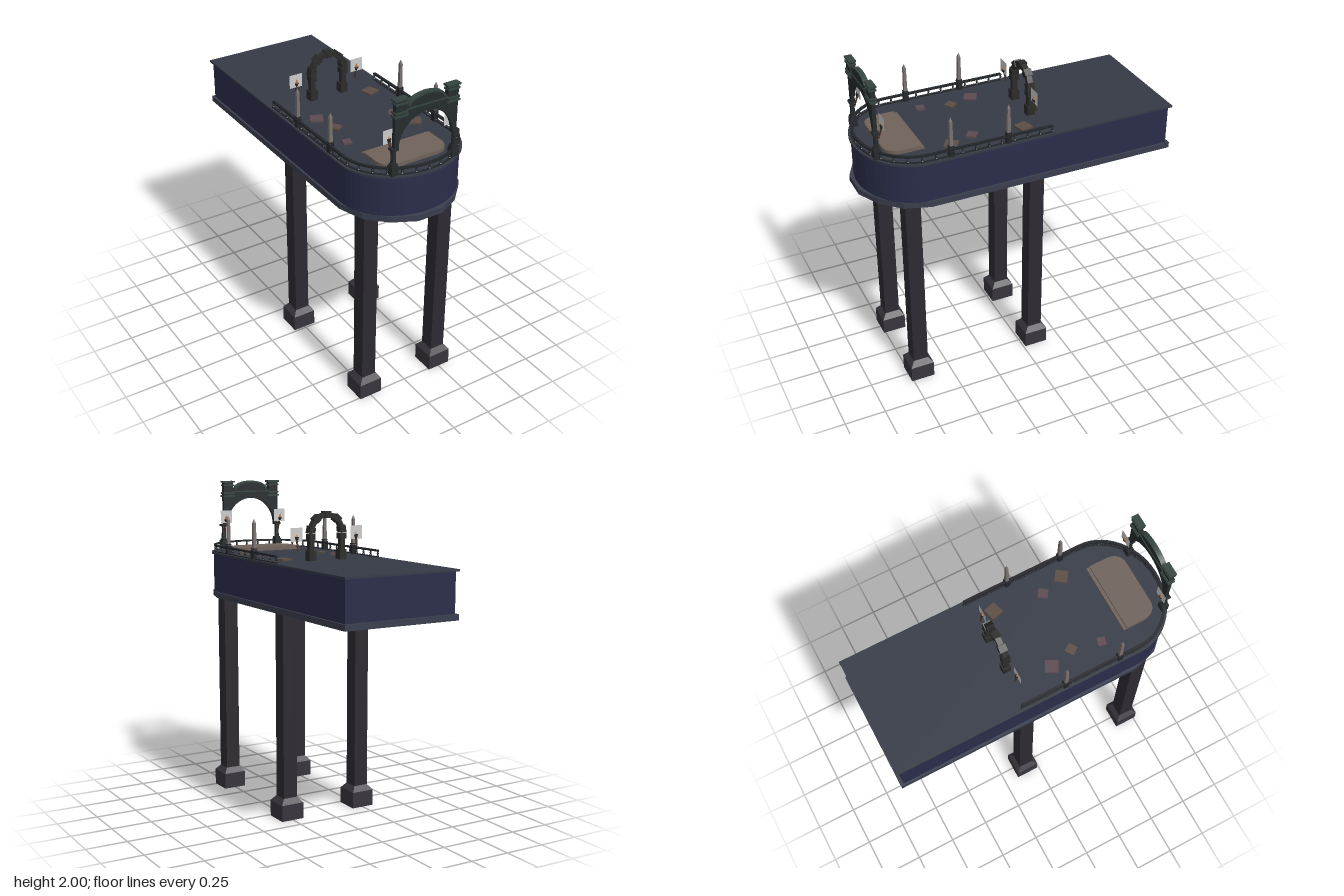
import * as THREE from 'three';

const mat = (color, flat = false) =>
  new THREE.MeshStandardMaterial({ color, flatShading: flat, side: THREE.DoubleSide });
const M = {
  wall: mat(0x2a2d4a), deck: mat(0x353a45), trim: mat(0x3a3e4e), leg: mat(0x2d2a31), foot: mat(0x38343d),
  iron: mat(0x23262a, true), stone: mat(0x2b2b29, true), gate: mat(0x262b2d, true), cap: mat(0x34443f),
  post: mat(0x77706e, true), stage: mat(0x6f625b), slabA: mat(0x5a4d45), slabB: mat(0x5c4a50),
  wood: mat(0x4a3423), ember: mat(0xc07030), card: mat(0xcccccc),
};

function add(parent, name, geo, material, x = 0, y = 0, z = 0) {
  const m = new THREE.Mesh(geo, material);
  m.name = name;
  m.position.set(x, y, z);
  parent.add(m);
  return m;
}
const box = (p, name, material, w, h, d, x, y, z) =>
  add(p, name, new THREE.BoxGeometry(w, h, d), material, x, y, z);

// Horizontal slab from a plan outline (x, z), between heights y0 and y1
function slab(parent, name, shape, y0, y1, material) {
  const geo = new THREE.ExtrudeGeometry(shape, { depth: y1 - y0, bevelEnabled: false });
  return add(parent, name, geo.rotateX(Math.PI / 2), material, 0, y1, 0);
}

// Rounded front end, from the right side round to the left
function bow(rx, front, z0 = 0.6, n = 28) {
  const pts = [];
  for (let i = 0; i <= n; i++) {
    const a = (Math.PI * i) / n;
    pts.push(new THREE.Vector2(rx * Math.cos(a), z0 + (front - z0) * Math.sin(a)));
  }
  return pts;
}
const plan = (rx, front, back) => new THREE.Shape([
  new THREE.Vector2(-rx, back), new THREE.Vector2(rx, back), ...bow(rx, front)]);

function buildDeck(g) {
  slab(g, 'deckWall', plan(0.36, 0.91, -0.91), 1.3, 1.55, M.wall);
  slab(g, 'deckFloor', plan(0.373, 0.922, -0.93), 1.548, 1.56, M.deck);
  // Lower trim has a faceted front
  const half = [[0.373, 0.6], [0.325, 0.75], [0.215, 0.862], [0.08, 0.93]];
  const pts = [[-0.373, -0.93], [0.373, -0.93], ...half, ...half.map(([x, z]) => [-x, z]).reverse()];
  slab(g, 'lowerTrim', new THREE.Shape(pts.map(p => new THREE.Vector2(...p))), 1.275, 1.31, M.trim);
}

function buildLeg(g, x, z) {
  const leg = new THREE.Group();
  leg.name = 'leg';
  leg.position.set(x, 0, z);
  box(leg, 'legShaft', M.leg, 0.092, 1.18, 0.092, 0, 0.69, 0);
  box(leg, 'legFoot', M.foot, 0.146, 0.1, 0.146, 0, 0.05, 0);
  const taper = new THREE.CylinderGeometry(0.046 * Math.SQRT2, 0.073 * Math.SQRT2, 0.033, 4, 1).rotateY(Math.PI / 4);
  add(leg, 'footTaper', taper, mat(0x38343d, true), 0, 0.1165, 0);
  g.add(leg);
}

function buildRailing(g) {
  const line = r => [new THREE.Vector2(r, -0.15), ...bow(r, 0.55 + r), new THREE.Vector2(-r, -0.15)];
  const band = w => new THREE.Shape([...line(0.351 + w), ...line(0.351 - w).reverse()]);
  slab(g, 'handrail', band(0.008), 1.595, 1.606, M.iron);
  slab(g, 'railFoot', band(0.006), 1.56, 1.565, M.iron);
  const path = new THREE.CurvePath();
  const pts = line(0.351);
  for (let i = 1; i < pts.length; i++) path.add(new THREE.LineCurve(pts[i - 1], pts[i]));
  const profile = [[0.009, 0], [0.009, 0.008], [0.004, 0.013], [0.007, 0.022], [0.004, 0.03], [0.008, 0.037]]
    .map(p => new THREE.Vector2(...p));
  const baluster = new THREE.LatheGeometry(profile, 6);
  for (const p of path.getSpacedPoints(32)) add(g, 'baluster', baluster, M.iron, p.x, 1.56, p.y);
  // Tall pointed posts on the rail
  for (const x of [-0.349, 0.349]) for (const z of [0.47, 0.125]) {
    box(g, 'postBase', M.iron, 0.03, 0.055, 0.03, x, 1.587, z);
    box(g, 'postCollar', M.iron, 0.028, 0.008, 0.028, x, 1.622, z);
    const shaft = new THREE.CylinderGeometry(0.012, 0.015, 0.16, 4).rotateY(Math.PI / 4);
    add(g, 'postShaft', shaft, M.post, x, 1.695, z);
    add(g, 'postTip', new THREE.ConeGeometry(0.012, 0.026, 4).rotateY(Math.PI / 4), M.post, x, 1.788, z);
  }
}

function buildGate(g) {
  const gate = new THREE.Group();
  gate.name = 'frontGate';
  gate.position.z = 0.845;
  // Header panel cut by a wide arch
  const s = new THREE.Shape();
  s.moveTo(-0.2, 1.715);
  s.lineTo(-0.172, 1.715);
  s.absarc(0, 1.715, 0.172, Math.PI, 0, true);
  s.lineTo(0.2, 1.715);
  s.lineTo(0.2, 1.905);
  s.lineTo(0.13, 1.905);
  s.lineTo(0.13, 1.945);
  s.lineTo(0.115, 1.945);
  s.absellipse(0, 1.945, 0.115, 0.052, 0, Math.PI, false);
  s.lineTo(-0.13, 1.945);
  s.lineTo(-0.13, 1.905);
  s.lineTo(-0.2, 1.905);
  const geo = new THREE.ExtrudeGeometry(s, { depth: 0.022, bevelEnabled: false, curveSegments: 20 });
  add(gate, 'archPanel', geo, M.gate, 0, 0, -0.011);
  box(gate, 'panelLedge', M.cap, 0.27, 0.008, 0.03, 0, 1.93, 0);
  const arc = new THREE.Shape();
  arc.absellipse(0, 0, 0.118, 0.055, 0, Math.PI, false);
  arc.absellipse(0, 0, 0.106, 0.043, Math.PI, 0, true);
  const crest = new THREE.ExtrudeGeometry(arc, { depth: 0.03, bevelEnabled: false, curveSegments: 16 });
  add(gate, 'crest', crest, M.cap, 0, 1.944, -0.015);
  for (const k of [-1, 1]) {
    const x = 0.197 * k;
    box(gate, 'columnBase', M.gate, 0.044, 0.055, 0.042, x, 1.587, 0);
    box(gate, 'columnRing', M.gate, 0.035, 0.012, 0.036, x, 1.62, 0);
    add(gate, 'columnShaft', new THREE.CylinderGeometry(0.013, 0.016, 0.09, 8), M.gate, x, 1.667, 0);
    box(gate, 'columnCapital', M.gate, 0.04, 0.014, 0.038, x, 1.714, 0);
    box(gate, 'pilaster', M.gate, 0.066, 0.09, 0.03, 0.165 * k, 1.945, 0);
    for (const [y, w] of [[1.902, 0.084], [1.922, 0.076], [1.972, 0.076], [1.994, 0.084]])
      box(gate, 'cornice', M.cap, w, 0.011, 0.042, 0.165 * k, y, 0);
  }
  g.add(gate);
}

function buildInnerArch(g) {
  const arch = new THREE.Group();
  arch.name = 'innerArch';
  arch.position.z = -0.125;
  for (const k of [-1, 1]) {
    box(arch, 'archFoot', M.stone, 0.048, 0.06, 0.048, 0.104 * k, 1.59, 0);
    box(arch, 'archPier', M.stone, 0.03, 0.08, 0.032, 0.106 * k, 1.655, 0);
    box(arch, 'archBlock', M.stone, 0.04, 0.035, 0.046, 0.106 * k, 1.7, 0);
  }
  // Alternating thick and thin arch stones
  const n = 9;
  for (let i = 0; i < n; i++) {
    const a0 = (Math.PI * i) / n, a1 = (Math.PI * (i + 1)) / n, big = i % 2 === 0;
    const ro = big ? 0.128 : 0.12, ri = big ? 0.088 : 0.093, d = big ? 0.046 : 0.034;
    const s = new THREE.Shape([[ro, a0], [ro, a1], [ri, a1], [ri, a0]]
      .map(([r, a]) => new THREE.Vector2(r * Math.cos(a), r * Math.sin(a))));
    const geo = new THREE.ExtrudeGeometry(s, { depth: d, bevelEnabled: false });
    add(arch, 'archStone', geo, M.stone, 0, 1.722, -d / 2);
  }
  g.add(arch);
}

// Leaning torch with an upright square card at its flame
function buildTorch(g, x, y, z, lean, cardX) {
  const t = new THREE.Group();
  t.name = 'torch';
  t.position.set(x, y, z);
  t.rotation.x = lean;
  add(t, 'torchHandle', new THREE.CylinderGeometry(0.007, 0.004, 0.07, 6), M.wood, 0, -0.045, 0);
  add(t, 'torchCup', new THREE.CylinderGeometry(0.014, 0.008, 0.018, 6), M.iron, 0, -0.008, 0);
  add(t, 'torchFlame', new THREE.ConeGeometry(0.009, 0.03, 6), M.ember, 0, 0.014, 0);
  g.add(t);
  add(g, 'flameCard', new THREE.PlaneGeometry(0.082, 0.082), M.card, cardX, y + 0.015, z);
}

function buildStage(g) {
  const s = new THREE.Shape();
  s.moveTo(-0.217, 0.595);
  s.lineTo(0.217, 0.595);
  s.lineTo(0.217, 0.71);
  s.quadraticCurveTo(0.21, 0.795, 0.13, 0.795);
  s.lineTo(-0.13, 0.795);
  s.quadraticCurveTo(-0.21, 0.795, -0.217, 0.71);
  slab(g, 'stage', s, 1.56, 1.583, M.stage);
  box(g, 'stageStep', M.stage, 0.434, 0.012, 0.022, 0, 1.566, 0.586);
}

export function createModel() {
  const g = new THREE.Group();
  g.name = 'raisedTerrace';
  buildDeck(g);
  for (const x of [-0.252, 0.252]) for (const z of [0.688, -0.085]) buildLeg(g, x, z);
  buildRailing(g);
  buildGate(g);
  buildInnerArch(g);
  for (const k of [-1, 1]) buildTorch(g, 0.2 * k, 1.755, 0.805, -0.3, 0.196 * k);
  buildTorch(g, -0.217, 1.7, -0.11, 0.2, -0.222);
  buildTorch(g, 0.193, 1.7, -0.11, 0.2, 0.193);
  buildStage(g);
  // Loose floor slabs: x, z, size, turn, material
  for (const [x, z, w, turn, m] of [
    [0.235, -0.022, 0.078, 0.25, M.slabA], [-0.217, 0.11, 0.075, -0.5, M.slabB],
    [-0.178, 0.255, 0.056, 0.6, M.slabA], [0.198, 0.28, 0.058, -0.6, M.slabB],
    [0.243, 0.425, 0.075, -0.6, M.slabA], [-0.217, 0.43, 0.05, -0.25, M.slabB],
  ]) box(g, 'floorSlab', m, w, 0.012, w, x, 1.566, z).rotation.y = turn;
  return g;
}
